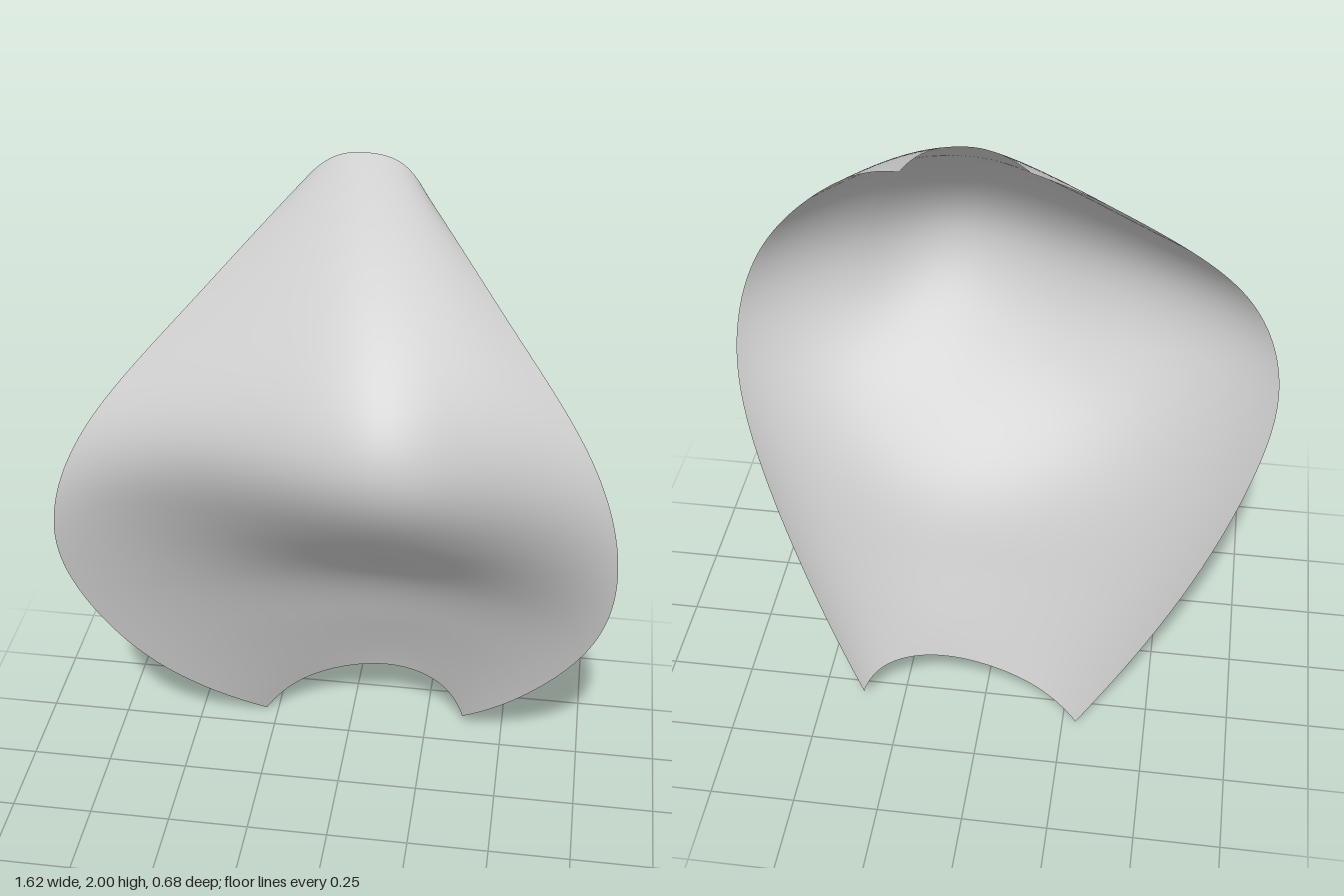
import * as THREE from 'three';

// Guide lines running bottom to top, listed from -x to +x
const GUIDES = [
  [[-.29, 0, -.33], [-.59, .35, -.085], [-.77, .72, .07], [-.81, 1.03, .13], [-.69, 1.34, .09], [-.42, 1.645, -.08], [-.13, 1.93, -.325]],
  [[-.13, .16, -.33], [-.28, .42, -.195], [-.36, .73, -.06], [-.37, 1.04, .1], [-.26, 1.36, .215], [-.16, 1.67, .04], [-.06, 1.983, -.34]],
  [[.09, .23, -.33], [.1, .48, -.235], [.11, .75, -.1], [.13, 1.05, .18], [.14, 1.35, .335], [.09, 1.66, .135], [.02, 2, -.34]],
  [[.27, .185, -.33], [.39, .44, -.205], [.48, .73, -.055], [.5, 1.04, .14], [.43, 1.36, .235], [.3, 1.675, .07], [.12, 1.98, -.34]],
  [[.37, .04, -.33], [.6, .35, -.115], [.77, .7, .06], [.805, 1.03, .13], [.7, 1.36, .115], [.46, 1.665, -.03], [.2, 1.9, -.315]],
].map((line) => line.map((p) => new THREE.Vector3(...p)));

// Point past the end of a curve, keeping its curvature
const beyond = (a, b, c) => a.clone().multiplyScalar(3).addScaledVector(b, -3).add(c);

// Smooth curve through evenly spaced points, returned as a function of t in 0..1
function smoothCurve(points) {
  const p = [...points];
  for (let k = 0; k < 2; k++) {
    const n = p.length;
    const before = beyond(p[0], p[1], p[2]), after = beyond(p[n - 1], p[n - 2], p[n - 3]);
    p.unshift(before);
    p.push(after);
  }
  const slope = (i) => new THREE.Vector3().subVectors(p[i + 1], p[i - 1]).multiplyScalar(8)
    .add(p[i - 2]).sub(p[i + 2]).divideScalar(12);
  return (t) => {
    const s = t * (points.length - 1);
    const k = Math.min(Math.floor(s), points.length - 2), f = s - k, i = k + 2;
    return new THREE.Vector3()
      .addScaledVector(p[i], (1 + 2 * f) * (1 - f) ** 2)
      .addScaledVector(p[i + 1], f * f * (3 - 2 * f))
      .addScaledVector(slope(i), f * (1 - f) ** 2)
      .addScaledVector(slope(i + 1), f * f * (f - 1));
  };
}

export function createModel() {
  const group = new THREE.Group();
  group.name = 'curvedSheet';

  const grey = new THREE.MeshStandardMaterial({ color: 0xcccccc, side: THREE.DoubleSide });
  grey.name = 'grey';

  // Loft a fine grid across the guide lines
  const guides = GUIDES.map(smoothCurve);
  const columns = 64, rows = 80;
  const geometry = new THREE.PlaneGeometry(1, 1, columns, rows);
  const position = geometry.attributes.position;
  for (let j = 0; j <= rows; j++) {
    const across = smoothCurve(guides.map((guide) => guide(1 - j / rows)));
    for (let i = 0; i <= columns; i++) {
      const p = across(i / columns);
      position.setXYZ(j * (columns + 1) + i, p.x, p.y, p.z);
    }
  }
  geometry.computeVertexNormals();

  const sheet = new THREE.Mesh(geometry, grey);
  sheet.name = 'sheet';
  group.add(sheet);
  return group;
}
